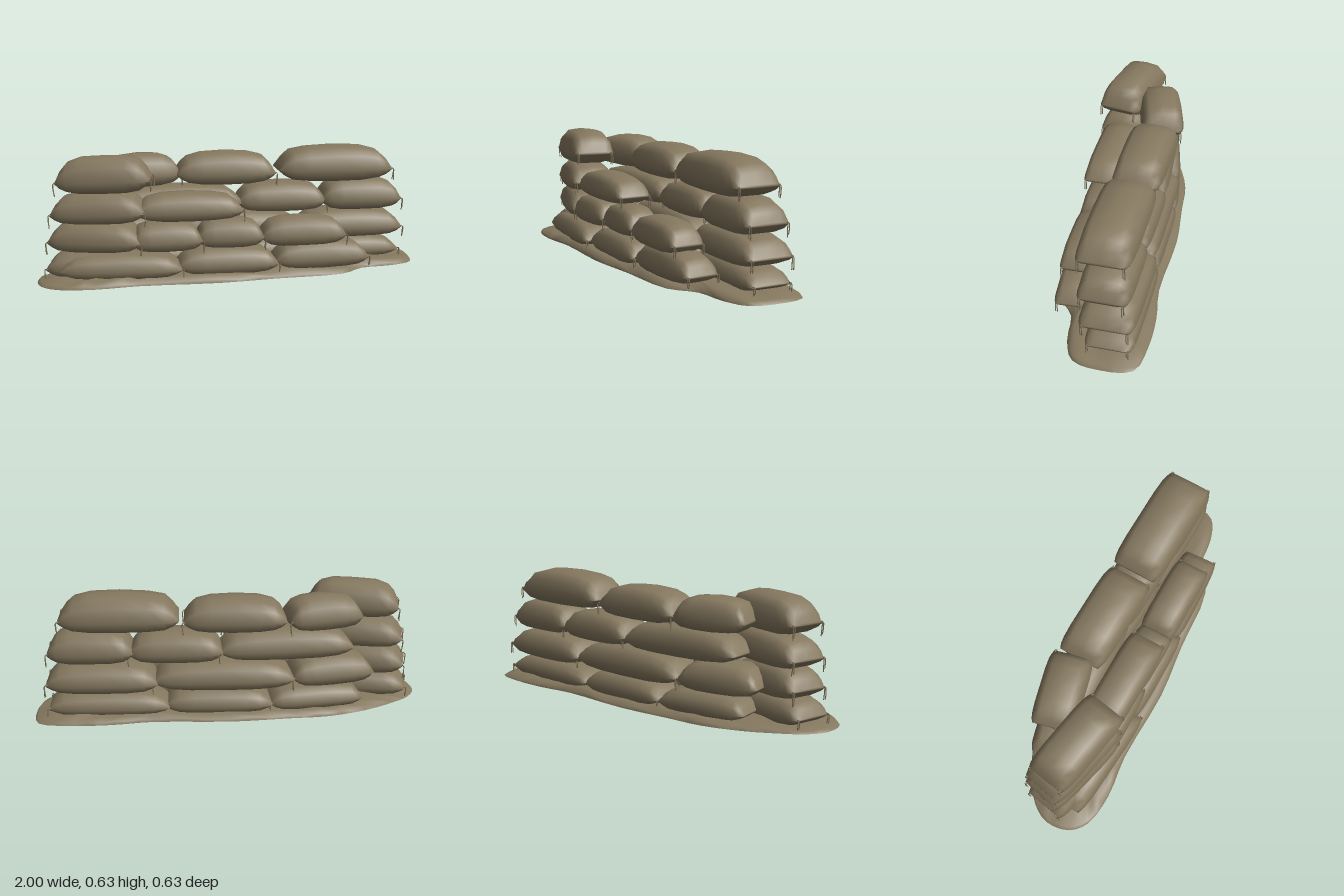
import * as THREE from 'three';

const burlap = new THREE.MeshStandardMaterial({ color: 0x85785f });
burlap.name = 'burlap';

let seed = 7;
const rnd = () => (seed = (seed * 16807) % 2147483647) / 2147483647;
const wob = (a) => (rnd() - 0.5) * 2 * a;

function meshFrom(pos, idx, name) {
  const g = new THREE.BufferGeometry();
  g.setAttribute('position', new THREE.Float32BufferAttribute(pos, 3));
  g.setIndex(idx);
  g.computeVertexNormals();
  const m = new THREE.Mesh(g, burlap);
  m.name = name;
  return m;
}

// Bag cross-section: [z, y], z from -1 to 1, y from 0 to 1, starting at the side seam
const SEAM = 0.34;
const HALF = [[1, SEAM], [0.87, 0.73], [0.6, 0.95], [0, 1]];
const UNDER = [[-0.86, 0.07], [-0.5, 0], [0.5, 0], [0.86, 0.07]];
const SECTION = [...HALF, ...HALF.slice(0, 3).reverse().map(([z, y]) => [-z, y]), ...UNDER];
// Along the bag: [position, height factor, width factor]
const END = [[0, 0.08, 0.84], [0.05, 0.48, 0.92], [0.12, 0.79, 0.97], [0.26, 0.95, 1]];
const STATIONS = [...END, [0.5, 1, 1], ...END.slice().reverse().map(([u, h, w]) => [1 - u, h, w])];

function sack(length, height, width) {
  const pos = [], idx = [], n = SECTION.length, last = STATIONS.length - 1;
  STATIONS.forEach(([u, h, w], i) => {
    const bulge = i > 1 && i < last - 1 ? wob(0.02) : 0;
    for (const [z, y] of SECTION) {
      pos.push((u - 0.5) * length, (SEAM + (y - SEAM) * (h + bulge)) * height, z * w * width / 2);
    }
  });
  for (let i = 0; i < last; i++) for (let j = 0; j < n; j++) {
    const k = (j + 1) % n, a = i * n + j, b = a + n, c = i * n + k, d = c + n;
    idx.push(a, b, c, b, d, c);
  }
  const s = pos.length / 3;
  pos.push(-length / 2, SEAM * height, 0, length / 2, SEAM * height, 0);
  for (let j = 0; j < n; j++) {
    const k = (j + 1) % n;
    idx.push(s, j, k, s + 1, last * n + k, last * n + j);
  }
  return meshFrom(pos, idx, 'sack');
}

// Pair of loose strings hanging from a bag corner
function tie(x, y, z, side, drop) {
  const g = new THREE.Group();
  g.name = 'tie';
  for (const s of [-1, 1]) {
    const end = drop * (0.8 + rnd() * 0.3);
    const path = new THREE.CatmullRomCurve3([
      new THREE.Vector3(x - side * 0.012, y, z),
      new THREE.Vector3(x + side * 0.005, y + 0.006, z + s * 0.003),
      new THREE.Vector3(x + side * 0.007, y - end * 0.5, z + s * 0.005),
      new THREE.Vector3(x + side * 0.004 + wob(0.004), y - end, z + s * 0.004),
    ]);
    g.add(new THREE.Mesh(new THREE.TubeGeometry(path, 6, 0.0026, 5), burlap));
  }
  return g;
}

// Bag lying between two end points, with ties at the chosen ends
function bag(name, [x0, z0, x1, z1, y0, y1, width], ends = [1], pitch = 0) {
  const g = new THREE.Group();
  g.name = name;
  const len = Math.hypot(x1 - x0, z1 - z0), h = y1 - y0, seam = SEAM * h;
  g.add(sack(len, h, width));
  // Strings of the lowest bags stop short of the ground
  const drop = Math.min(0.06, y0 + seam - 0.025);
  for (const e of ends) for (const s of [-1, 1]) {
    g.add(tie(e * len / 2, seam, s * width * 0.39, e, drop));
  }
  g.position.set((x0 + x1) / 2, y0, (z0 + z1) / 2);
  g.rotation.set(0, -Math.atan2(z1 - z0, x1 - x0), pitch);
  return g;
}

// Trampled earth under the wall: shrinking rings inside an uneven outline
function ground() {
  const outline = [
    [-1, 0.1], [-0.98, 0.22], [-0.9, 0.29], [-0.72, 0.31], [-0.5, 0.28], [-0.1, 0.28], [0.2, 0.24],
    [0.55, 0.2], [0.68, 0.1], [0.85, 0.07], [0.97, 0.01], [1, -0.12], [0.97, -0.28], [0.8, -0.315],
    [0.6, -0.31], [0.4, -0.28], [0, -0.29], [-0.3, -0.26], [-0.5, -0.24], [-0.7, -0.17], [-0.85, -0.08], [-0.95, 0],
  ];
  const n = 66, pos = [], idx = [];
  const pts = new THREE.CatmullRomCurve3(
    outline.map(([x, z]) => new THREE.Vector3(x, 0, z)), true).getPoints(n).slice(0, n);
  const rings = [[1, 0, 0], [0.985, 0.014, 0.006], [0.9, 0.03, 0.008], [0.75, 0.04, 0.005]];
  for (const [s, y, v] of rings) for (const p of pts) pos.push(p.x * s, y + wob(v), p.z * s);
  for (let i = 0; i < rings.length - 1; i++) for (let j = 0; j < n; j++) {
    const k = (j + 1) % n, a = i * n + j, b = i * n + k;
    idx.push(a, b, a + n, b, b + n, a + n);
  }
  const top = pos.length / 3, inner = (rings.length - 1) * n;
  pos.push(0, 0.04, 0);
  for (let j = 0; j < n; j++) idx.push(inner + j, inner + (j + 1) % n, top);
  // Flat underside
  const base = top + 1;
  for (const p of pts) pos.push(p.x, 0, p.z);
  pos.push(0, 0, 0);
  for (let j = 0; j < n; j++) idx.push(base + n, base + (j + 1) % n, base + j);
  return meshFrom(pos, idx, 'ground');
}

export function createModel() {
  seed = 7;
  const model = new THREE.Group();
  model.name = 'sandbagWall';
  model.add(ground());

  // Turned bags stacked at the right end
  [
    [-0.94, 0.055, -0.48, 0.13, 0.02, 0.155, 0.25],
    [-0.925, 0.035, -0.47, 0.14, 0.145, 0.305, 0.25],
    [-0.91, 0.045, -0.45, 0.14, 0.29, 0.45, 0.25],
    [-0.885, 0.065, -0.425, 0.14, 0.445, 0.632, 0.24],
  ].forEach((b, i) => model.add(bag('endBag', b, [-1, 1], i > 1 ? 0.03 : 0)));

  // Front row, stepping down towards the left
  [
    [-0.88, 0.13, -0.28, 0.165, 0.02, 0.15, 0.23],
    [-0.3, 0.13, 0.21, 0.12, 0.02, 0.16, 0.23],
    [0.2, 0.115, 0.69, 0.085, 0.025, 0.175, 0.21],
    [-0.53, 0.14, -0.18, 0.125, 0.145, 0.3, 0.21],
    [-0.2, 0.11, 0.14, 0.11, 0.15, 0.3, 0.2],
    [0.13, 0.105, 0.57, 0.095, 0.145, 0.3, 0.2],
    [-0.51, 0.12, 0.03, 0.115, 0.295, 0.44, 0.21],
  ].forEach((b) => model.add(bag('frontBag', b)));

  // Back row, four layers with staggered joints, bending forward at the right
  [
    [-0.67, -0.05, -0.19, -0.13, 0.02, 0.145, 0.25],
    [-0.21, -0.13, 0.33, -0.135, 0.02, 0.145, 0.25],
    [0.31, -0.145, 0.92, -0.145, 0.02, 0.14, 0.25],
    [-0.72, -0.025, -0.3, -0.12, 0.14, 0.295, 0.25],
    [-0.32, -0.12, 0.39, -0.13, 0.14, 0.295, 0.26],
    [0.37, -0.135, 0.93, -0.135, 0.135, 0.29, 0.28],
    [-0.62, -0.06, 0.06, -0.12, 0.285, 0.445, 0.24],
    [0.04, -0.12, 0.51, -0.12, 0.285, 0.445, 0.25],
    [0.49, -0.12, 0.92, -0.12, 0.285, 0.455, 0.26],
    [-0.65, -0.045, -0.28, -0.145, 0.44, 0.61, 0.23],
    [-0.28, -0.11, 0.235, -0.11, 0.44, 0.61, 0.26],
    [0.26, -0.105, 0.86, -0.105, 0.445, 0.632, 0.275],
  ].forEach((b) => model.add(bag('backBag', b)));

  return model;
}
